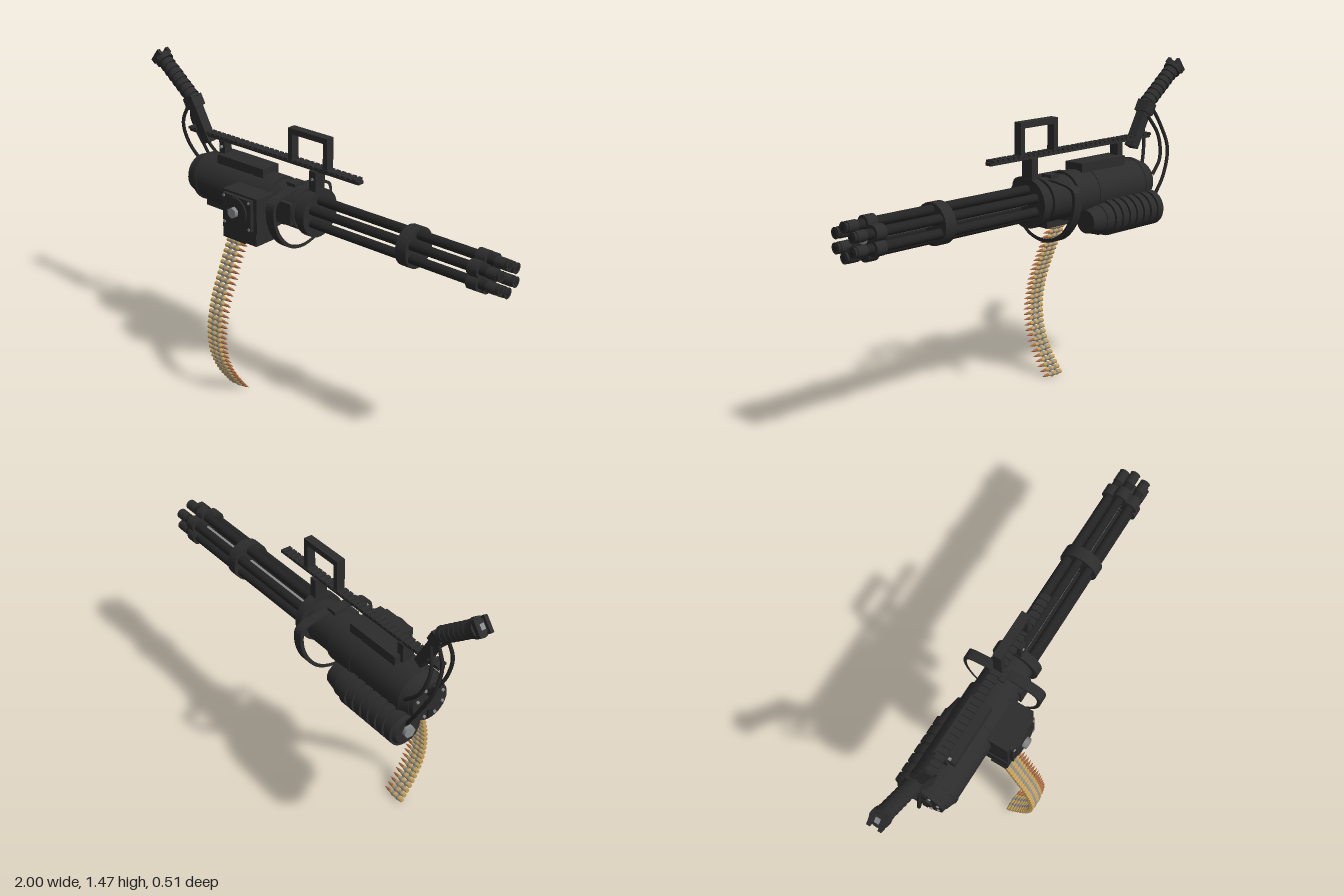
import * as THREE from 'three';

const mat = (name, color, side = THREE.FrontSide) => {
  const m = new THREE.MeshStandardMaterial({ color, side });
  m.name = name;
  return m;
};

export function createModel() {
  const root = new THREE.Group();
  root.name = 'rotaryGun';
  const black = mat('blackMetal', 0x2c2c2c);
  const dark = mat('darkMetal', 0x232323);
  const steel = mat('steel', 0x8a8c8e);
  const brass = mat('brass', 0xc4a05c);
  const copper = mat('copper', 0xa86a42);
  const AY = 0.92, AZ = -0.06; // barrel axis

  const add = (name, geo, material, x = 0, y = 0, z = 0, parent = root) => {
    const m = new THREE.Mesh(geo, material);
    m.name = name;
    m.position.set(x, y, z);
    parent.add(m);
    return m;
  };
  const group = (name) => {
    const g = new THREE.Group();
    g.name = name;
    root.add(g);
    return g;
  };
  // box given by its limits on each axis
  const box = (name, x0, x1, y0, y1, z0, z1, material = black, parent = root) =>
    add(name, new THREE.BoxGeometry(x1 - x0, y1 - y0, z1 - z0), material,
      (x0 + x1) / 2, (y0 + y1) / 2, (z0 + z1) / 2, parent);
  // cylinder along x; r0 at x0 and r1 at x1
  const rod = (name, r0, r1, x0, x1, y = AY, z = AZ, material = black, n = 32, parent = root) =>
    add(name, new THREE.CylinderGeometry(r1, r0, x1 - x0, n).rotateZ(-Math.PI / 2), material,
      (x0 + x1) / 2, y, z, parent);
  // short cylinder along z
  const disc = (name, r, z0, z1, x, y, material = black, n = 28) =>
    add(name, new THREE.CylinderGeometry(r, r, z1 - z0, n).rotateX(Math.PI / 2), material,
      x, y, (z0 + z1) / 2);

  // Barrel cluster
  const barrels = group('barrels');
  for (let i = 0; i < 6; i++) {
    const a = (i * Math.PI) / 3;
    const y = AY + 0.06 * Math.cos(a), z = AZ + 0.06 * Math.sin(a);
    rod('barrel', 0.021, 0.021, -0.04, 0.99, y, z, dark, 16, barrels);
    rod('muzzleSleeve', 0.024, 0.024, 0.94, 0.985, y, z, black, 16, barrels);
    rod('muzzleLip', 0.02, 0.024, 0.985, 1, y, z, black, 16, barrels);
    rod('muzzleBore', 0.013, 0.013, 0.99, 1.002, y, z, dark, 12, barrels);
    rod('muzzleClampLobe', 0.034, 0.034, 0.855, 0.905, y, z, black, 20, barrels);
  }
  rod('muzzleClamp', 0.07, 0.07, 0.86, 0.9);
  rod('middleClamp', 0.09, 0.09, 0.505, 0.56);
  rod('centreShaft', 0.01, 0.01, 0, 0.9, AY, AZ, steel, 12);
  rod('centreBolt', 0.022, 0.022, 0.895, 0.915, AY, AZ, steel, 6);

  // Main housing
  rod('frontPlate', 0.11, 0.11, -0.02, 0.02);
  rod('frontSleeve', 0.085, 0.085, -0.06, -0.02);
  rod('frontCollar', 0.098, 0.098, -0.18, -0.055);
  rod('housingNeck', 0.1, 0.098, -0.36, -0.15);
  rod('housing', 0.11, 0.11, -0.66, -0.2);
  for (const x of [-0.66, -0.35]) rod('housingBand', 0.113, 0.113, x, x + 0.018);
  rod('rearTaper', 0.095, 0.11, -0.7, -0.66);
  rod('rearCap', 0.088, 0.092, -0.72, -0.7);
  rod('rearHub', 0.035, 0.035, -0.73, -0.72);
  box('rearCrossbar', -0.727, -0.72, AY - 0.075, AY + 0.075, AZ - 0.012, AZ + 0.012, dark);
  for (let i = 0; i < 8; i++) {
    const a = (i + 0.5) * Math.PI / 4;
    rod('rearBolt', 0.007, 0.007, -0.726, -0.718, AY + 0.07 * Math.cos(a),
      AZ + 0.07 * Math.sin(a), steel, 8);
  }
  box('topCover', -0.56, -0.275, 0.99, 1.06, AZ - 0.05, AZ + 0.05);
  box('collarBlock', -0.15, -0.1, 0.99, 1.03, AZ - 0.03, AZ + 0.03);
  box('collarSideBlock', -0.14, -0.06, 0.87, 0.97, AZ + 0.06, AZ + 0.105);

  // Drive motor with cooling ribs
  const MY = 0.81, MZ = -0.157;
  rod('motorBody', 0.07, 0.07, -0.69, -0.32, MY, MZ);
  for (let i = 0; i < 7; i++) {
    const x = -0.69 + i * 0.048;
    rod('motorRib', 0.08, 0.08, x, x + 0.034, MY, MZ);
  }
  rod('motorNose', 0.066, 0.052, -0.32, -0.25, MY, MZ);
  rod('motorEndCap', 0.06, 0.07, -0.705, -0.69, MY, MZ);
  rod('motorBolt', 0.028, 0.028, -0.722, -0.7, MY, MZ, steel, 6);
  box('motorMount', -0.66, -0.3, 0.78, 0.86, AZ - 0.09, AZ + 0.03);

  // Ammunition feeder
  box('feederBox', -0.385, -0.18, 0.82, 0.985, -0.02, 0.13);
  box('feederFace', -0.37, -0.2, 0.83, 0.975, 0.13, 0.148);
  disc('feederDisc', 0.068, 0.148, 0.156, -0.29, 0.905);
  disc('feederBolt', 0.026, 0.15, 0.175, -0.29, 0.905, steel, 6);
  for (const x of [-0.36, -0.21]) for (const y of [0.84, 0.965])
    disc('feederScrew', 0.007, 0.146, 0.152, x, y, steel, 8);
  box('feedChute', -0.39, -0.185, 0.76, 0.822, 0.015, 0.13);
  box('feedMouth', -0.395, -0.26, 0.75, 0.765, 0.05, 0.125, dark);

  // Hanging ammunition belt
  const belt = group('ammunitionBelt');
  const path = new THREE.CatmullRomCurve3([[0.755, 0.095], [0.6, 0.165], [0.47, 0.217],
    [0.33, 0.243], [0.2, 0.228], [0.1, 0.18], [0.014, 0.117]]
    .map(([y, z]) => new THREE.Vector3(0, y, z)));
  const rounds = 32;
  for (let i = 0; i < rounds; i++) {
    const t = i / (rounds - 1);
    const p = path.getPointAt(t), d = path.getTangentAt(t);
    rod('cartridgeCase', 0.0105, 0.0105, -0.385, -0.315, p.y, p.z, brass, 10, belt);
    rod('cartridgeNeck', 0.0105, 0.007, -0.315, -0.302, p.y, p.z, brass, 10, belt);
    rod('bulletBody', 0.007, 0.006, -0.302, -0.285, p.y, p.z, copper, 10, belt);
    rod('bulletTip', 0.006, 0.001, -0.285, -0.265, p.y, p.z, copper, 10, belt);
    for (const x of [-0.357, -0.325]) {
      rod('linkLoop', 0.012, 0.012, x - 0.006, x + 0.006, p.y, p.z, steel, 10, belt);
      const link = add('linkTab', new THREE.BoxGeometry(0.008, 0.026, 0.007), steel,
        x, p.y, p.z, belt);
      link.rotation.x = Math.atan2(d.z, d.y);
    }
  }

  // Guard hoop around the collar: outer outline with an inset hole
  const outline = (s) => new THREE.CatmullRomCurve3([[0.1, 0.09], [0.18, 0.065], [0.188, -0.01],
    [0.155, -0.1], [0.09, -0.165], [0, -0.188], [-0.09, -0.165], [-0.155, -0.1],
    [-0.188, -0.01], [-0.18, 0.065], [-0.1, 0.09], [0, 0.095]]
    .map(([x, y]) => new THREE.Vector3(x * s, y * s, 0)), true)
    .getPoints(60).map((p) => new THREE.Vector2(p.x, p.y));
  const hoopShape = new THREE.Shape(outline(1));
  hoopShape.holes.push(new THREE.Path(outline(0.91)));
  add('guardHoop', new THREE.ExtrudeGeometry(hoopShape, { depth: 0.045, bevelEnabled: false })
    .rotateY(Math.PI / 2), black, -0.125, AY, AZ);

  // Top rail, its supports and the carrying handle
  box('railBase', -0.775, 0.245, 1.114, 1.128, AZ - 0.016, AZ + 0.016);
  for (let i = 0; i < 34; i++) {
    const x = -0.775 + i * 0.03;
    box('railTooth', x, x + 0.02, 1.126, 1.137, AZ - 0.023, AZ + 0.023);
  }
  box('rearRailPost', -0.575, -0.54, 1.02, 1.116, AZ - 0.022, AZ + 0.022);
  box('frontRailPost', -0.018, 0.018, 1.0, 1.116, AZ - 0.03, AZ + 0.03);
  for (const [x, y] of [[-0.557, 1.09], [0, 1.08]])
    disc('postBolt', 0.007, AZ + 0.02, AZ + 0.034, x, y, steel, 8);
  for (const x of [-0.15, 0.05])
    box('carryHandlePost', x, x + 0.024, 1.13, 1.275, AZ - 0.02, AZ + 0.02);
  box('carryHandleBar', -0.15, 0.074, 1.251, 1.277, AZ - 0.02, AZ + 0.02);

  // Rear control arm and grip, each built along its own local y
  const arm = (name, x0, y0, x1, y1) => {
    const g = group(name);
    g.position.set(x0, y0, AZ);
    g.rotation.z = Math.atan2(x0 - x1, y1 - y0);
    return g;
  };
  const stalk = arm('gripArm', -0.665, 1.09, -0.765, 1.27);
  box('armBar', -0.022, 0.022, -0.01, 0.2, -0.024, 0.024, black, stalk);
  box('armHead', -0.03, 0.03, 0.16, 0.215, -0.033, 0.033, black, stalk);
  const grip = arm('rearGrip', -0.755, 1.265, -0.975, 1.437);
  add('gripCore', new THREE.CylinderGeometry(0.03, 0.03, 0.27, 20), black, 0, 0.135, 0, grip);
  for (let i = 0; i < 7; i++)
    add('gripRib', new THREE.CylinderGeometry(0.034, 0.037, 0.023, 20), black,
      0, 0.03 + i * 0.031, 0, grip);
  add('gripCollar', new THREE.CylinderGeometry(0.042, 0.042, 0.028, 20), black, 0, 0.248, 0, grip);
  for (const z of [-0.025, 0.025])
    box('gripProng', -0.035, 0.035, 0.255, 0.283, z - 0.008, z + 0.008, black, grip);
  box('triggerButton', -0.012, 0.012, 0.26, 0.276, -0.01, 0.01, steel, grip);

  // Control cables from the grip to the rear of the housing
  const cables = [
    [[-0.77, 1.26, -0.085], [-0.82, 1.17, -0.1], [-0.825, 1.07, -0.14], [-0.77, 0.95, -0.165], [-0.7, 0.84, -0.16]],
    [[-0.76, 1.25, -0.03], [-0.79, 1.16, -0.02], [-0.78, 1.07, -0.035], [-0.74, 0.99, -0.06], [-0.7, 0.95, -0.08]],
    [[-0.74, 1.22, -0.09], [-0.78, 1.13, -0.12], [-0.76, 1.03, -0.15], [-0.69, 0.96, -0.165]],
  ];
  for (const pts of cables) {
    const curve = new THREE.CatmullRomCurve3(pts.map((p) => new THREE.Vector3(...p)));
    add('controlCable', new THREE.TubeGeometry(curve, 32, 0.008, 8), dark);
  }
  return root;
}
